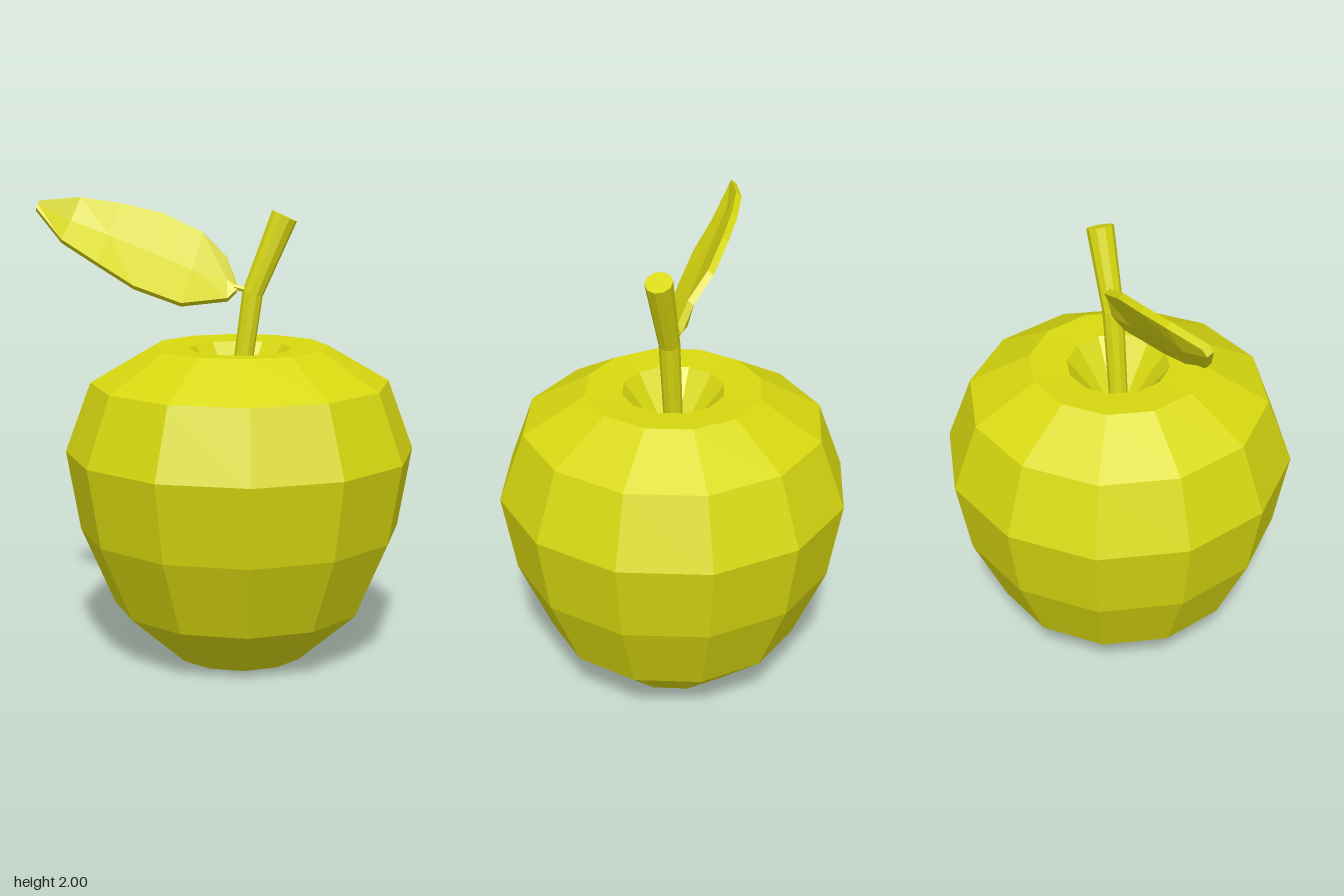
import * as THREE from 'three';

const yellow = new THREE.MeshStandardMaterial({ color: 0xd8d810 });
yellow.name = 'yellow';

// Faceted mesh: unshared corners give each face its own normal
function facetedMesh(name, geometry) {
  const flat = geometry.index ? geometry.toNonIndexed() : geometry;
  flat.computeVertexNormals();
  const mesh = new THREE.Mesh(flat, yellow);
  mesh.name = name;
  return mesh;
}

// Closed skin through rings that run anticlockwise about the path direction
function loft(rings) {
  const pos = [];
  const tri = (a, b, c) => pos.push(...a, ...b, ...c);
  const n = rings[0].length;
  for (let k = 0; k + 1 < rings.length; k++) {
    const a = rings[k], b = rings[k + 1];
    for (let i = 0; i < n; i++) {
      const j = (i + 1) % n;
      tri(a[i], a[j], b[j]);
      tri(a[i], b[j], b[i]);
    }
  }
  const first = rings[0], last = rings[rings.length - 1];
  for (let i = 1; i + 1 < n; i++) {
    tri(first[0], first[i + 1], first[i]);
    tri(last[0], last[i], last[i + 1]);
  }
  const g = new THREE.BufferGeometry();
  g.setAttribute('position', new THREE.Float32BufferAttribute(pos, 3));
  return g;
}

// Ring in a plane tilted from upright towards +x
function tiltedRing(x, y, r, tilt, sides) {
  return Array.from({ length: sides }, (_, i) => {
    const a = (i / sides) * Math.PI * 2;
    const u = r * Math.cos(a);
    return [x + u * Math.cos(tilt), y - u * Math.sin(tilt), -r * Math.sin(a)];
  });
}

export function createModel() {
  const model = new THREE.Group();
  model.name = 'apple';

  // Fruit, with a dimple at each end
  const profile = [
    [0, 0.11], [0.04, 0.09], [0.12, 0.005], [0.29, 0], [0.55, 0.23], [0.695, 0.565],
    [0.755, 0.91], [0.645, 1.21], [0.38, 1.365], [0.22, 1.355], [0.08, 1.17], [0, 1.13],
  ].map(([r, y]) => new THREE.Vector2(r, y));
  const fruit = facetedMesh('fruit', new THREE.LatheGeometry(profile, 12));
  fruit.position.x = 0.055;
  model.add(fruit);

  // Bent stem, wider at the top
  model.add(facetedMesh('stem', loft([
    tiltedRing(0.045, 1.13, 0.04, 0.14, 10),
    tiltedRing(0.108, 1.59, 0.045, 0.28, 10),
    tiltedRing(0.243, 1.92, 0.058, 0.43, 10),
  ])));

  // Leaf: upper and lower edge points from base to tip, slightly folded on the midrib
  const stations = [
    [[0.04, 1.635, -0.01], [0.04, 1.61, 0.01]],
    [[0, 1.745, -0.045], [0, 1.575, 0.03]],
    [[-0.1, 1.845, -0.1], [-0.2, 1.565, 0.115]],
    [[-0.27, 1.927, -0.112], [-0.4, 1.64, 0.12]],
    [[-0.45, 1.97, -0.1], [-0.55, 1.735, 0.1]],
    [[-0.62, 1.998, -0.07], [-0.7, 1.83, 0.06]],
    [[-0.79, 1.988, 0], [-0.805, 1.96, 0.015]],
  ];
  const back = ([x, y, z]) => [x, y - 0.018, z - 0.025];
  model.add(facetedMesh('leaf', loft(stations.map(([up, low], k) => {
    const fold = k === 0 || k === stations.length - 1 ? 0 : 0.012;
    const mid = up.map((v, i) => (v + low[i]) / 2 - (i === 0 ? 0 : fold));
    return [low, mid, up, back(up), back(mid), back(low)];
  }))));

  // Short leaf stalk joining the stem
  const stalkPath = new THREE.LineCurve3(
    new THREE.Vector3(0.11, 1.6, 0), new THREE.Vector3(0.03, 1.62, -0.005));
  model.add(facetedMesh('leafStalk', new THREE.TubeGeometry(stalkPath, 1, 0.014, 6)));

  return model;
}
